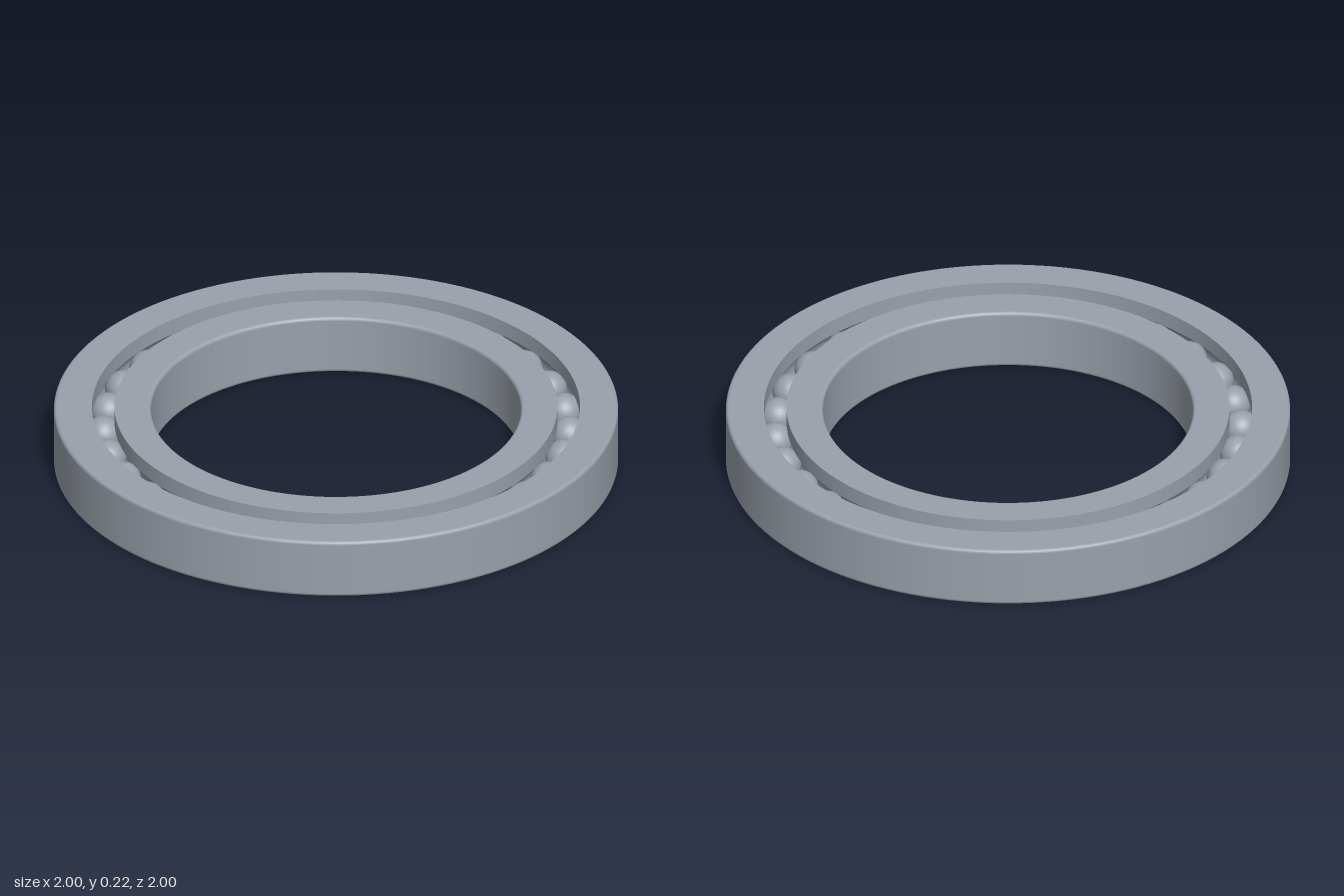
import * as THREE from 'three';
import { mergeGeometries } from 'three/addons/utils/BufferGeometryUtils.js';

const HEIGHT = 0.22, MID = HEIGHT / 2;
const PITCH = 0.825, BALL_R = 0.065, BALLS = 30;
const FILLET = 0.012, SEGMENTS = 128;

// Points on an arc in the (radius, y) plane, angles in degrees
function arc(r, y, radius, from, to, steps) {
  return Array.from({ length: steps + 1 }, (_, i) => {
    const a = THREE.MathUtils.degToRad(from + (to - from) * i / steps);
    return new THREE.Vector2(r + radius * Math.cos(a), y + radius * Math.sin(a));
  });
}

// Revolves each section on its own, so edges between sections stay sharp
function revolve(sections) {
  return mergeGeometries(sections.map(s => new THREE.LatheGeometry(s, SEGMENTS)));
}

// Closed ring profile; straight faces are added between the curved sections
function ring(curves) {
  const sections = [];
  curves.forEach((curve, i) => {
    const next = curves[(i + 1) % curves.length];
    sections.push(curve, [curve[curve.length - 1], next[0]]);
  });
  return revolve(sections);
}

export function createModel() {
  const group = new THREE.Group();
  group.name = 'ballBearing';
  const steel = new THREE.MeshStandardMaterial({ color: 0x99a1ab });
  steel.name = 'steel';

  const add = (name, geometry, parent = group) => {
    const mesh = new THREE.Mesh(geometry, steel);
    mesh.name = name;
    parent.add(mesh);
    return mesh;
  };

  // Half-angle of the ball groove where it meets the race shoulder
  const shoulder = 0.04;
  const half = THREE.MathUtils.radToDeg(Math.acos(shoulder / BALL_R));
  const inner = PITCH - shoulder, outer = PITCH + shoulder;
  const low = FILLET, high = HEIGHT - FILLET;

  // Outer race: rounded outside edges, groove on the inside
  add('outerRace', ring([
    arc(1 - FILLET, low, FILLET, -90, 0, 5),
    arc(1 - FILLET, high, FILLET, 0, 90, 5),
    [new THREE.Vector2(outer, HEIGHT), new THREE.Vector2(outer, MID + 0.06)],
    arc(PITCH, MID, BALL_R, half, -half, 12),
    [new THREE.Vector2(outer, MID - 0.06), new THREE.Vector2(outer, 0)],
  ]));

  // Inner race: rounded bore edges, groove on the outside
  const bore = 0.655;
  add('innerRace', ring([
    arc(bore + FILLET, high, FILLET, 90, 180, 5),
    arc(bore + FILLET, low, FILLET, 180, 270, 5),
    [new THREE.Vector2(inner, 0), new THREE.Vector2(inner, MID - 0.06)],
    arc(PITCH, MID, BALL_R, 180 + half, 180 - half, 12),
    [new THREE.Vector2(inner, MID + 0.06), new THREE.Vector2(inner, HEIGHT)],
  ]));

  // Balls evenly spaced on the pitch circle
  const balls = new THREE.Group();
  balls.name = 'balls';
  group.add(balls);
  const sphere = new THREE.SphereGeometry(BALL_R, 32, 20);
  for (let i = 0; i < BALLS; i++) {
    const a = i / BALLS * Math.PI * 2;
    add('ball', sphere, balls).position.set(PITCH * Math.cos(a), MID, PITCH * Math.sin(a));
  }
  return group;
}
